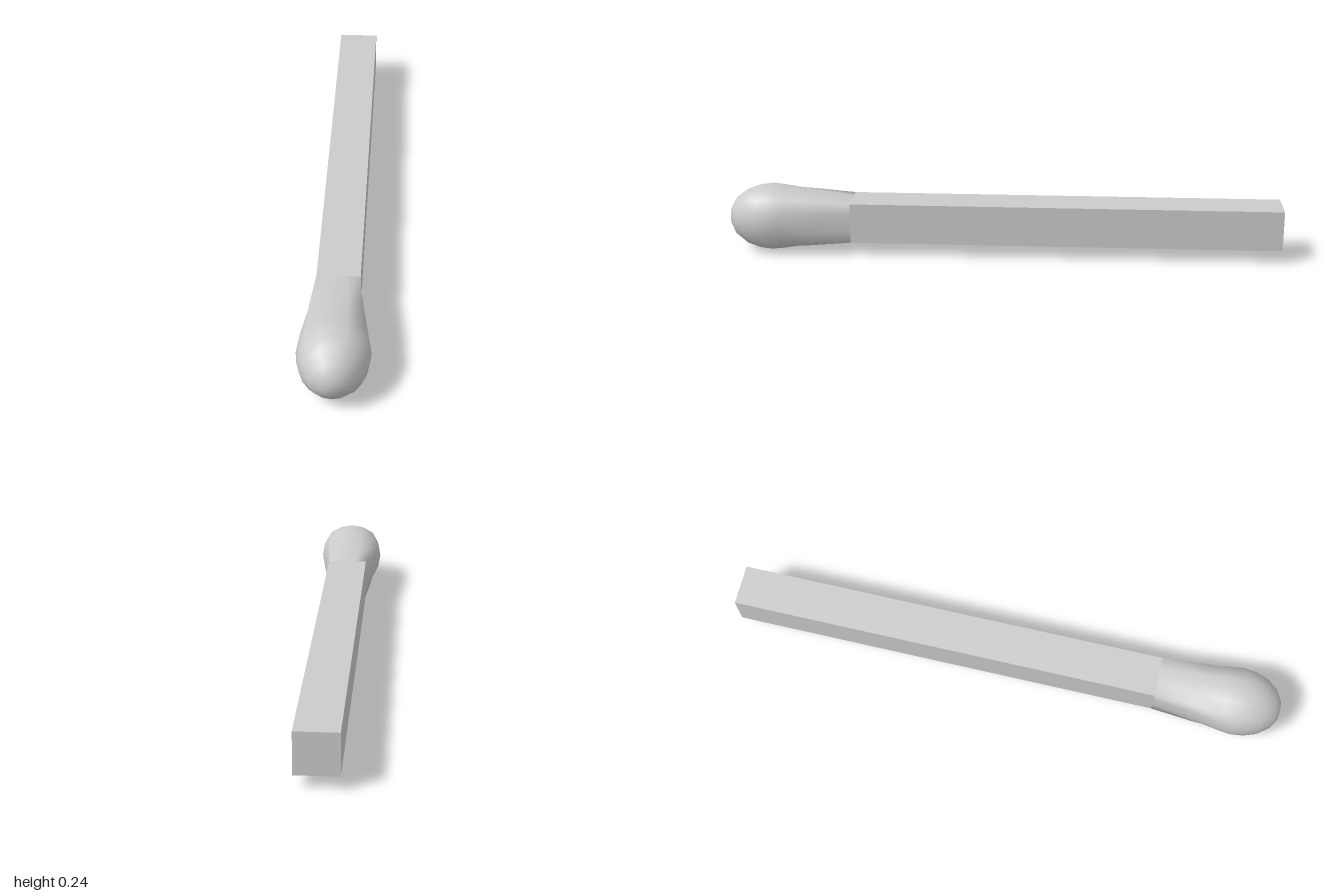
import * as THREE from 'three';

const MID = 0.12; // height of the long axis
const HALF = 0.073; // half thickness of the stick
const NECK = 0.55; // z where the head begins
const SIDES = 16;

// Rings of the head: [z, radius, roundness], from the square neck to the round tip
const RINGS = [
  [NECK, HALF, 0],
  [0.70, 0.097, 0.5],
  [0.80, 0.115, 0.83],
  [0.845, 0.12, 0.87],
  [0.89, 0.115, 0.9],
  [0.935, 0.1, 0.95],
  [0.975, 0.07, 1],
  [0.995, 0.035, 1],
];

function headGeometry() {
  const pos = [], index = [];
  for (const [z, r, round] of RINGS) {
    for (let i = 0; i < SIDES; i++) {
      const a = (i / SIDES) * Math.PI * 2, c = Math.cos(a), s = Math.sin(a);
      // blend between a square and a circle
      const square = 1 / Math.max(Math.abs(c), Math.abs(s));
      const k = r * THREE.MathUtils.lerp(square, 1, round);
      pos.push(c * k, s * k, z);
    }
  }
  const tip = RINGS.length * SIDES;
  pos.push(0, 0, 1);
  for (let j = 0; j < RINGS.length; j++) {
    for (let i = 0; i < SIDES; i++) {
      const a = j * SIDES + i, b = j * SIDES + ((i + 1) % SIDES);
      if (j === RINGS.length - 1) index.push(a, b, tip);
      else index.push(a, b, b + SIDES, a, b + SIDES, a + SIDES);
    }
  }
  const g = new THREE.BufferGeometry();
  g.setAttribute('position', new THREE.Float32BufferAttribute(pos, 3));
  g.setIndex(index);
  g.computeVertexNormals();
  return g;
}

export function createModel() {
  const group = new THREE.Group();
  group.name = 'matchstick';
  const material = new THREE.MeshStandardMaterial({ color: 0xcccccc });

  // Square wooden stick
  const length = NECK + 1;
  const stick = new THREE.Mesh(new THREE.BoxGeometry(HALF * 2, HALF * 2, length), material);
  stick.name = 'stick';
  stick.position.set(0, MID, -1 + length / 2);

  // Bulbous head flowing out of the square stick
  const head = new THREE.Mesh(headGeometry(), material);
  head.name = 'head';
  head.position.y = MID;

  group.add(stick, head);
  return group;
}
